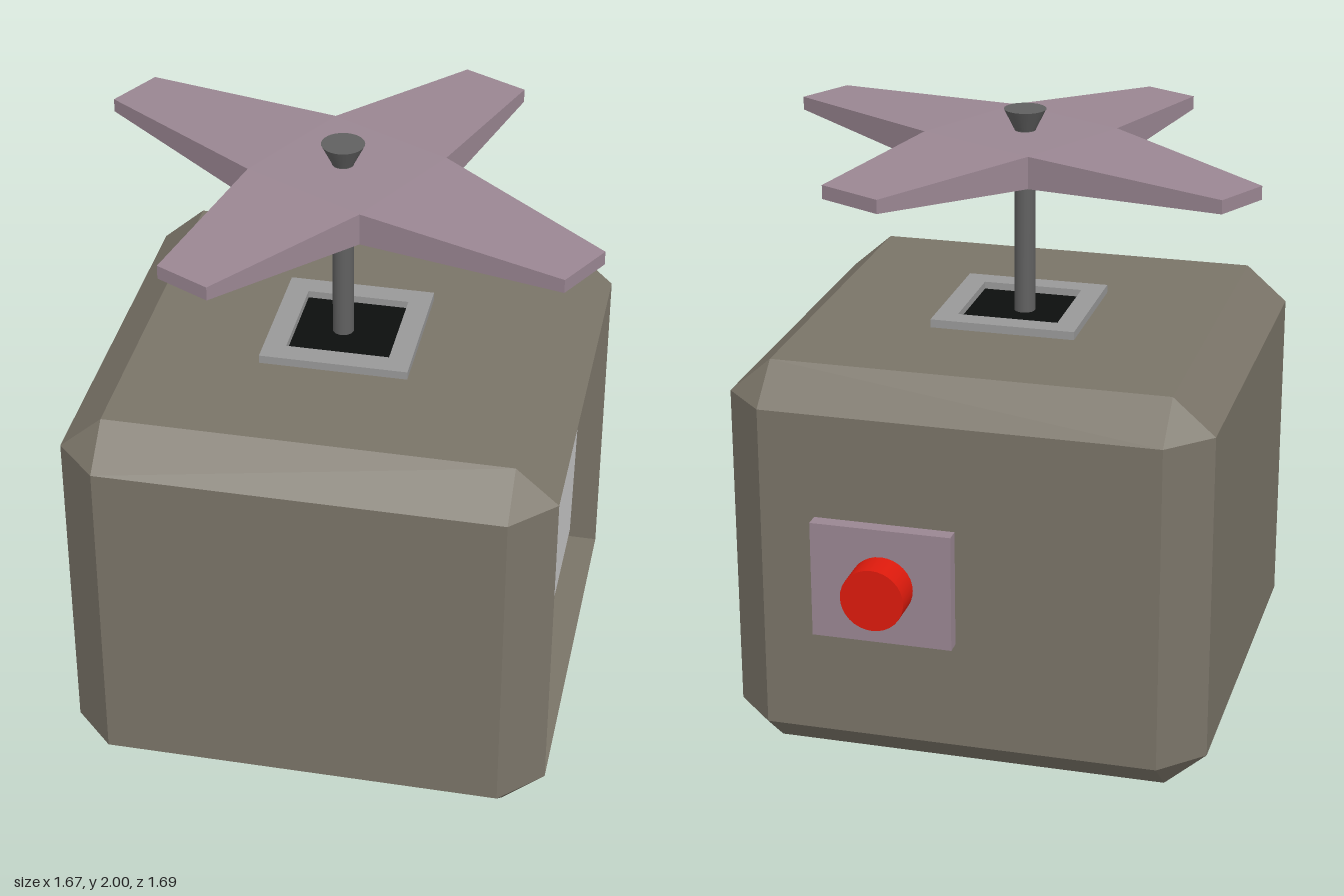
import * as THREE from 'three';
import { ConvexGeometry } from 'three/addons/geometries/ConvexGeometry.js';

const mat = (color, opts = {}) => {
  const m = new THREE.MeshStandardMaterial({ color, ...opts });
  return m;
};

function add(parent, name, geometry, material, x = 0, y = 0, z = 0) {
  const mesh = new THREE.Mesh(geometry, material);
  mesh.name = name;
  mesh.position.set(x, y, z);
  parent.add(mesh);
  return mesh;
}

// Removes the triangles lying in the plane x = value
function dropFaceAtX(geometry, value) {
  const src = geometry.index ? geometry.toNonIndexed() : geometry;
  const p = src.attributes.position;
  const kept = [];
  for (let i = 0; i < p.count; i += 3) {
    const flat = [0, 1, 2].every((k) => Math.abs(p.getX(i + k) - value) < 1e-4);
    if (!flat) for (let k = 0; k < 3; k++) kept.push(p.getX(i + k), p.getY(i + k), p.getZ(i + k));
  }
  const out = new THREE.BufferGeometry();
  out.setAttribute('position', new THREE.Float32BufferAttribute(kept, 3));
  out.computeVertexNormals();
  return out;
}

// Box with bevelled edges and triangular corners
function chamferBox(hx, hy, hz, cx, cy, cz) {
  const pts = [];
  for (const sx of [-1, 1]) for (const sy of [-1, 1]) for (const sz of [-1, 1]) {
    pts.push(
      new THREE.Vector3(sx * hx, sy * (hy - cy), sz * (hz - cz)),
      new THREE.Vector3(sx * (hx - cx), sy * hy, sz * (hz - cz)),
      new THREE.Vector3(sx * (hx - cx), sy * (hy - cy), sz * hz),
    );
  }
  return new ConvexGeometry(pts);
}

// Prism over four [x, z, halfHeight] corners: near left, far left, far right, near right
function quadPrism(nearL, farL, farR, nearR) {
  const g = new THREE.BoxGeometry(1, 1, 1);
  const p = g.attributes.position;
  for (let i = 0; i < p.count; i++) {
    const right = p.getX(i) > 0;
    const far = p.getZ(i) < 0;
    const c = far ? (right ? farR : farL) : (right ? nearR : nearL);
    p.setXYZ(i, c[0], Math.sign(p.getY(i)) * c[2], c[1]);
  }
  g.computeVertexNormals();
  return g;
}

export function createModel() {
  const model = new THREE.Group();
  model.name = 'rotorBox';
  const midZ = 0.0725;

  const bodyMat = mat(0x7a7468, { flatShading: true, side: THREE.DoubleSide });
  const blackMat = mat(0x0c0e0d);
  const mauveMat = mat(0x9a8692, { flatShading: true });
  const metalMat = mat(0x606060);
  const greyMat = mat(0xcccccc);

  // Body, open on its left side
  add(model, 'body', dropFaceAtX(chamferBox(0.775, 0.66, 0.7725, 0.135, 0.118, 0.135), 0.775),
    bodyMat, 0, 0.66, midZ);

  // Recess: lining, dark back and slightly crooked panel
  const depth = 0.112;
  let lining = new THREE.BoxGeometry(depth, 1.084, 1.275);
  for (const s of [-1, 1]) lining = dropFaceAtX(lining, (s * depth) / 2);
  add(model, 'recessLining', lining, bodyMat, 0.775 - depth / 2, 0.66, midZ);
  const back = add(model, 'recessBack', new THREE.PlaneGeometry(1.275, 1.084), blackMat,
    0.775 - depth, 0.66, midZ);
  back.rotation.y = Math.PI / 2;
  const panel = add(model, 'sidePanel', new THREE.BoxGeometry(0.02, 0.995, 1.265), greyMat,
    0.68, 0.662, 0.08);
  panel.rotation.set(-0.008, 0, -0.014);

  // Square collar around the shaft opening
  const collar = new THREE.Shape();
  const square = (path, h) => path.moveTo(-h, -h).lineTo(h, -h).lineTo(h, h).lineTo(-h, h).closePath();
  square(collar, 0.237);
  const opening = new THREE.Path();
  square(opening, 0.165);
  collar.holes.push(opening);
  const collarGeo = new THREE.ExtrudeGeometry(collar, { depth: 0.028, bevelEnabled: false });
  collarGeo.rotateX(-Math.PI / 2);
  add(model, 'shaftCollar', collarGeo, mat(0x999999), 0, 1.319, 0.075);
  const hole = add(model, 'shaftOpening', new THREE.PlaneGeometry(0.34, 0.34), blackMat, 0, 1.323, 0.075);
  hole.rotation.x = -Math.PI / 2;

  // Shaft and flared cap
  add(model, 'shaft', new THREE.CylinderGeometry(0.034, 0.034, 0.62, 32), metalMat, -0.015, 1.63, 0.075);
  add(model, 'shaftCap', new THREE.CylinderGeometry(0.068, 0.028, 0.08, 32), metalMat, -0.015, 1.96, 0.075);

  // Rotor: square hub with four tapering blades
  const rotor = new THREE.Group();
  rotor.name = 'rotor';
  rotor.position.y = 1.878;
  model.add(rotor);
  const thick = 0.052;
  const thin = 0.022;
  const hub = [[-0.1, -0.22], [0.29, -0.025], [0.095, 0.365], [-0.295, 0.165]].map((c) => [...c, thick]);
  const tips = [
    [[0.247, -0.672], [0.452, -0.57]],
    [[0.835, 0.38], [0.74, 0.56]],
    [[-0.265, 0.807], [-0.435, 0.72]],
    [[-0.835, -0.24], [-0.745, -0.415]],
  ];
  add(rotor, 'rotorHub', quadPrism(hub[3], hub[0], hub[1], hub[2]), mauveMat);
  tips.forEach(([l, r], i) => {
    add(rotor, 'rotorBlade', quadPrism(hub[i], [...l, thin], [...r, thin], hub[(i + 1) % 4]), mauveMat);
  });

  // Push button on the back
  add(model, 'buttonPlate', new THREE.BoxGeometry(0.455, 0.385, 0.05), mauveMat, 0.235, 0.667, -0.722);
  const button = add(model, 'button', new THREE.CylinderGeometry(0.102, 0.102, 0.11, 32),
    mat(0xdd1a0c), 0.232, 0.667, -0.795);
  button.rotation.x = Math.PI / 2;

  return model;
}
